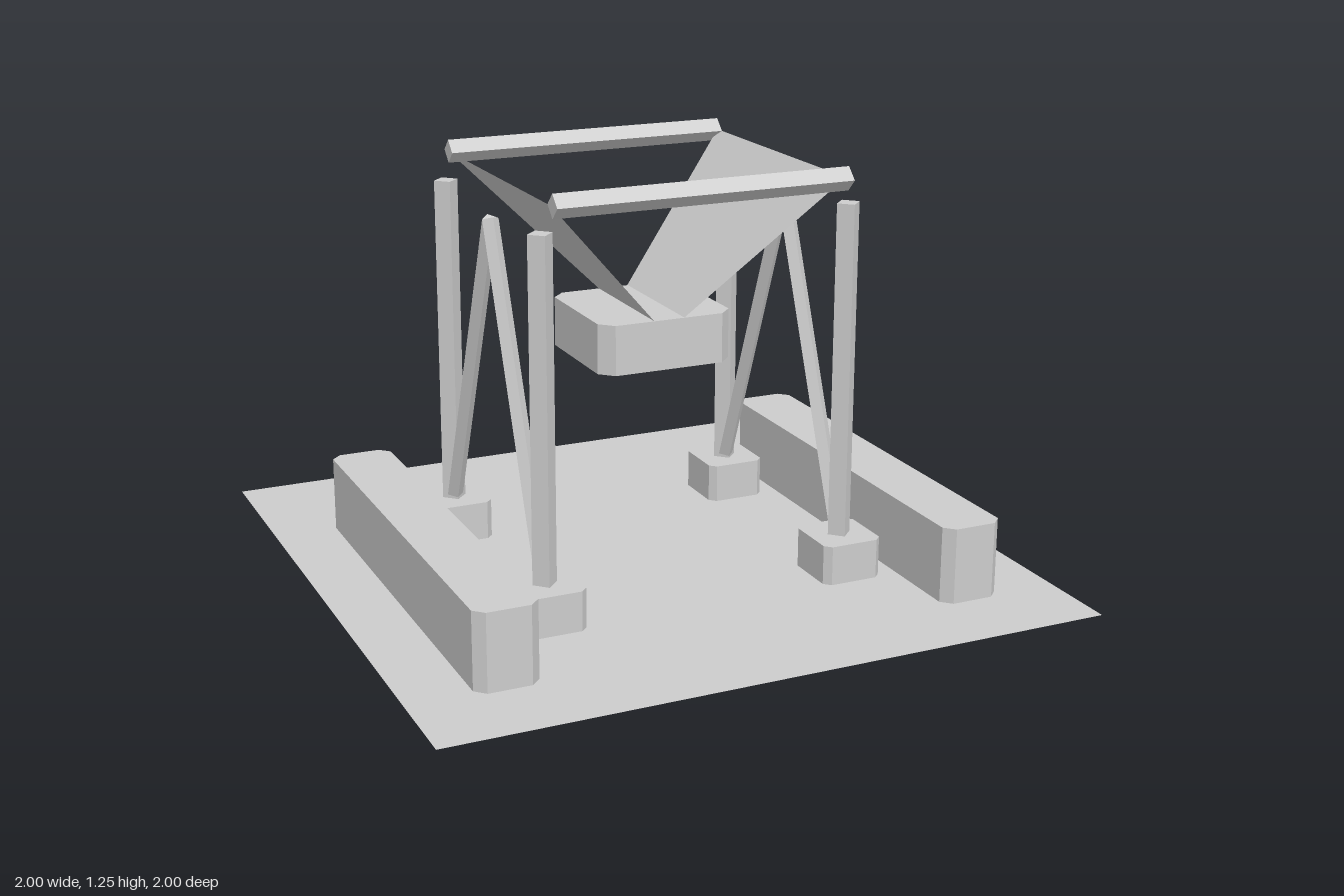
import * as THREE from 'three';

const concrete = new THREE.MeshStandardMaterial({ color: 0xcccccc, side: THREE.DoubleSide });
concrete.name = 'grey';

function add(group, name, geometry, x = 0, y = 0, z = 0) {
  const mesh = new THREE.Mesh(geometry, concrete);
  mesh.name = name;
  mesh.position.set(x, y, z);
  group.add(mesh);
  return mesh;
}

// Upright block with chamfered vertical corners, base at y = 0
function chamferedBlock(w, h, d, c) {
  const a = w / 2, b = d / 2;
  const corners = [[a - c, -b], [a, c - b], [a, b - c], [a - c, b], [c - a, b], [-a, b - c], [-a, c - b], [c - a, -b]];
  const shape = new THREE.Shape(corners.map(([x, y]) => new THREE.Vector2(x, y)));
  return new THREE.ExtrudeGeometry(shape, { depth: h, bevelEnabled: false }).rotateX(-Math.PI / 2);
}

// Square bar turned on edge, running between two points
function bar(group, name, from, to, r) {
  const a = new THREE.Vector3(...from), b = new THREE.Vector3(...to);
  const dir = b.clone().sub(a);
  const geometry = new THREE.CylinderGeometry(r, r, dir.length(), 4).toNonIndexed();
  geometry.computeVertexNormals();
  const mesh = add(group, name, geometry);
  mesh.position.copy(a).add(b).multiplyScalar(0.5);
  mesh.quaternion.setFromUnitVectors(new THREE.Vector3(0, 1, 0), dir.normalize());
}

// Flat marking lying on the ground
function flat(group, name, w, d, x, y, z) {
  add(group, name, new THREE.PlaneGeometry(w, d).rotateX(-Math.PI / 2), x, y, z);
}

export function createModel() {
  const model = new THREE.Group();
  model.name = 'hopperStation';
  const midZ = 0.012;

  // Ground and driveway
  flat(model, 'ground', 2, 2, 0, 0, 0);
  flat(model, 'driveway', 0.65, 1.2, 0.003, 0.002, 0.39);
  for (const s of [-1, 1]) flat(model, 'edgeStripe', 0.026, 1.2, 0.003 + s * 0.312, 0.004, 0.39);
  for (let i = 0; i < 5; i++) flat(model, 'laneDash', 0.028, 0.056, 0.003, 0.004, 0.75 - i * 0.198);

  // Side barriers, footings, posts and A-frame braces
  for (const s of [-1, 1]) {
    const x = 0.003 + s * 0.473;
    add(model, 'barrier', chamferedBlock(0.188, 0.23, 1.342, 0.03), 0.004 + s * 0.716, 0, 0.088);
    for (const t of [-1, 1]) {
      const z = midZ + t * 0.385;
      add(model, 'footing', chamferedBlock(0.188, 0.12, 0.196, 0.02), x, 0, z);
      bar(model, 'post', [x, 0.1, z], [x, 1.13, z], 0.037);
      bar(model, 'brace', [x, 0.1, z], [x, 1.09, midZ], 0.025);
    }
  }

  // Top beams
  for (const t of [-1, 1]) {
    const z = 0.02 + t * 0.42;
    bar(model, 'topBeam', [-0.45, 1.21, z], [0.45, 1.21, z], 0.035);
  }

  // Sloping hopper sides
  for (const s of [-1, 1]) {
    const geometry = new THREE.BufferGeometry();
    geometry.setAttribute('position', new THREE.Float32BufferAttribute([
      s * 0.45, 1.21, 0.425, s * 0.45, 1.21, -0.397,
      s * 0.048, 0.79, -0.197, s * 0.048, 0.79, 0.212], 3));
    // Inner (upper) face is the front on both sides
    geometry.setIndex(s > 0 ? [0, 1, 2, 0, 2, 3] : [0, 2, 1, 0, 3, 2]);
    geometry.computeVertexNormals();
    add(model, 'hopperSide', geometry);
  }

  // Outlet block under the hopper
  add(model, 'outlet', chamferedBlock(0.42, 0.15, 0.408, 0.04), 0, 0.64, 0.01);

  // Scattered gravel
  const gravel = [
    [-0.455, -0.83], [0.45, -0.945], [0.705, -0.935], [0.83, -0.86], [0.89, -0.875],
    [-0.15, -0.69], [0.345, -0.74], [0.565, -0.68], [-0.77, -0.645], [-0.9, -0.555],
    [-0.865, -0.475], [0.855, -0.625], [0.92, -0.44], [0.755, -0.59], [-0.895, 0],
    [0.87, -0.025], [0.9, 0.05], [0.95, 0.15], [-0.41, 0.54], [-0.375, 0.57],
    [-0.475, 0.685], [-0.95, 0.82], [-0.645, 0.925], [0.58, 0.59], [0.855, 0.875]];
  for (const [x, z] of gravel) flat(model, 'gravel', 0.018, 0.015, x, 0.004, z);

  return model;
}
